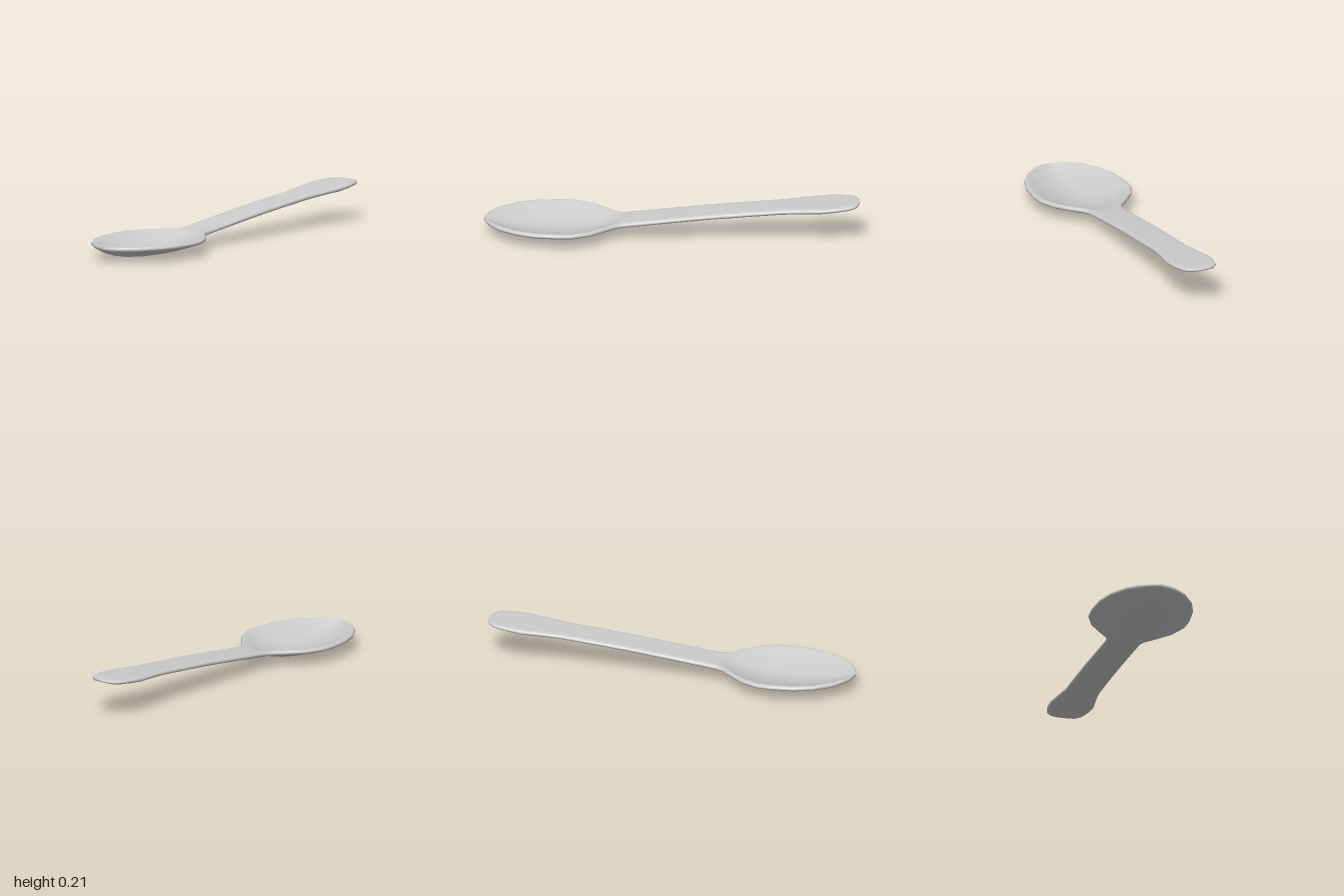
import * as THREE from 'three';

// Stations along the spoon: x, half width, mid height of the edge, half thickness, bowl depth
const STATIONS = [
  [-1.0, 0.0, 0.079, 0.006, 0], [-0.985, 0.06, 0.079, 0.011, 0.008], [-0.96, 0.105, 0.079, 0.014, 0.019],
  [-0.91, 0.165, 0.079, 0.014, 0.034], [-0.82, 0.225, 0.079, 0.014, 0.051], [-0.72, 0.259, 0.079, 0.014, 0.061],
  [-0.6, 0.271, 0.079, 0.014, 0.065], [-0.52, 0.265, 0.079, 0.014, 0.062], [-0.43, 0.226, 0.079, 0.014, 0.05],
  [-0.36, 0.167, 0.079, 0.014, 0.031], [-0.3, 0.112, 0.079, 0.014, 0.009], [-0.26, 0.095, 0.081, 0.014, 0],
  [-0.2, 0.093, 0.088, 0.014, 0], [0, 0.093, 0.112, 0.014, 0], [0.2, 0.093, 0.135, 0.014, 0],
  [0.4, 0.093, 0.154, 0.014, 0], [0.58, 0.093, 0.17, 0.014, 0], [0.68, 0.104, 0.179, 0.014, 0],
  [0.8, 0.12, 0.188, 0.014, 0], [0.88, 0.115, 0.195, 0.013, 0], [0.95, 0.098, 0.2, 0.012, 0],
  [0.98, 0.075, 0.202, 0.01, 0], [0.993, 0.045, 0.203, 0.007, 0], [1.0, 0.0, 0.204, 0.003, 0],
];
const ACROSS = 16; // divisions across the top and underside
const NOSE = 5; // points around each rounded edge

// Closed cross-section: dished top, rounded edge, bulged underside, rounded edge
function crossSection([x, w, mid, h, depth]) {
  const ring = [];
  const inset = Math.min(0.022, w * 0.4);
  for (const side of [1, -1]) {
    const power = side > 0 ? 1.7 : 1.43;
    for (let i = 0; i <= ACROSS; i++) {
      const s = side * (-1 + (2 * i) / ACROSS);
      const sag = depth * (1 - Math.pow(Math.abs(s), power));
      ring.push([x, mid + side * h - sag, s * (w - inset)]);
    }
    for (let i = 1; i <= NOSE; i++) {
      const a = (Math.PI * i) / (NOSE + 1);
      ring.push([x, mid + side * h * Math.cos(a), side * (w - inset + inset * Math.sin(a))]);
    }
  }
  return ring;
}

// Skin consecutive cross-sections into one smooth surface
function loft(rings) {
  const n = rings[0].length;
  const index = [];
  for (let i = 0; i < rings.length - 1; i++) {
    for (let j = 0; j < n; j++) {
      const a = i * n + j;
      const b = i * n + ((j + 1) % n);
      index.push(a, b, a + n, b, b + n, a + n);
    }
  }
  const geometry = new THREE.BufferGeometry();
  geometry.setAttribute('position', new THREE.Float32BufferAttribute(rings.flat(2), 3));
  geometry.setIndex(index);
  geometry.computeVertexNormals();
  return geometry;
}

export function createModel() {
  const group = new THREE.Group();
  group.name = 'spoon';
  // Bowl and handle are one continuous piece
  const material = new THREE.MeshStandardMaterial({ color: 0xcccccc });
  const body = new THREE.Mesh(loft(STATIONS.map(crossSection)), material);
  body.name = 'bowlAndHandle';
  group.add(body);
  return group;
}
